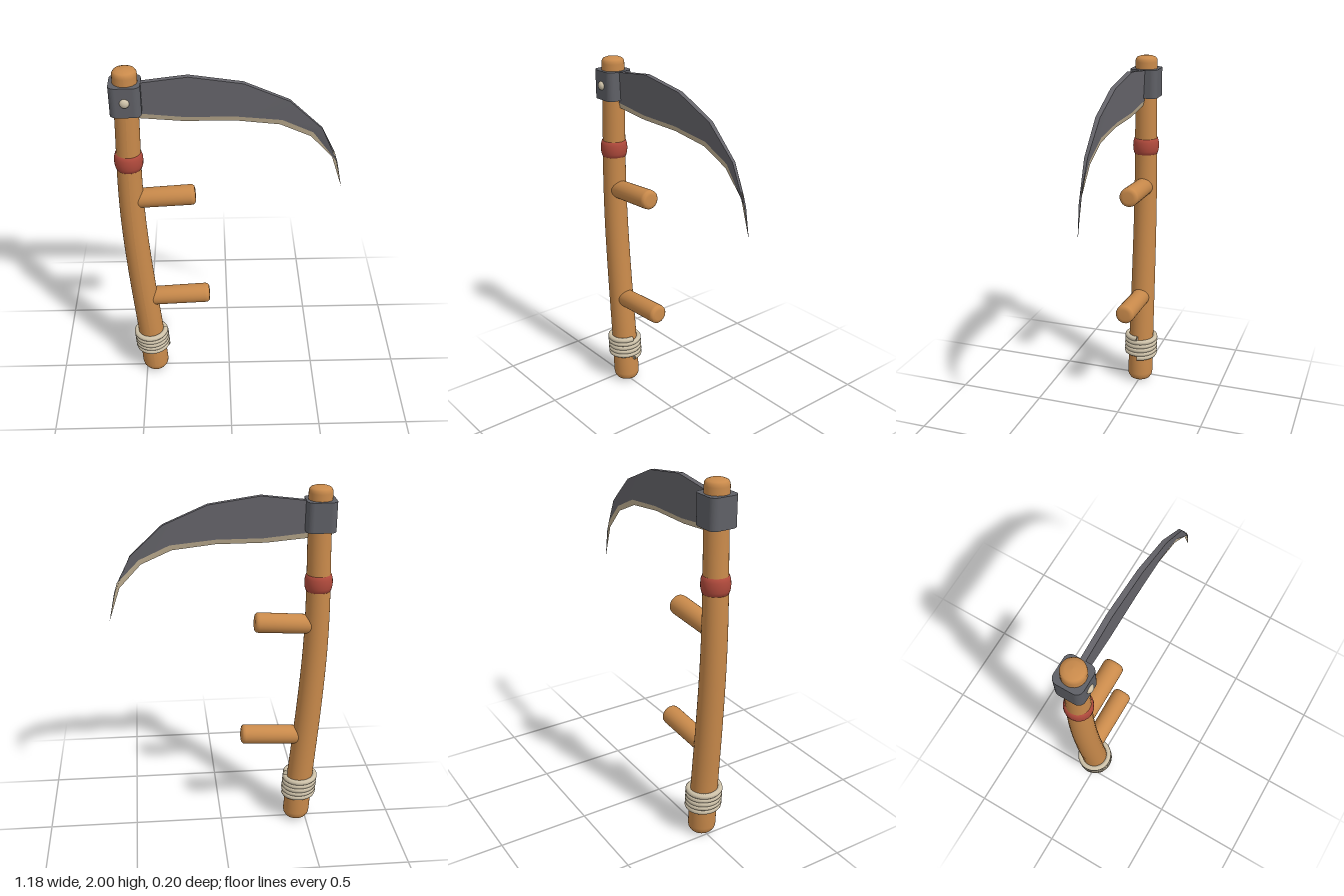
import * as THREE from 'three';

const mat = (name, color) => {
  const m = new THREE.MeshStandardMaterial({ color });
  m.name = name;
  return m;
};
const V2 = (x, y) => new THREE.Vector2(x, y);

// Gently bowed centre line of the shaft: x as a function of height
const bow = new THREE.SplineCurve([
  V2(0, -0.445), V2(0.3, -0.463), V2(0.7, -0.494), V2(1.05, -0.514),
  V2(1.35, -0.518), V2(1.7, -0.509), V2(2, -0.504),
]);
const table = bow.getPoints(120);
function centreX(y) {
  let i = 1;
  while (i < table.length - 1 && table[i].x < y) i++;
  const a = table[i - 1], b = table[i];
  return THREE.MathUtils.lerp(a.y, b.y, THREE.MathUtils.clamp((y - a.x) / (b.x - a.x), 0, 1));
}

// Lathe from [radius, height] pairs
const lathe = (pairs, seg = 32) => new THREE.LatheGeometry(pairs.map(([r, y]) => V2(r, y)), seg);

// Surface strips between pairs of rows running the same way; rows lower-to-upper face the viewer
function strips(pairs) {
  const pos = [], index = [];
  for (const [a, b] of pairs) {
    const base = pos.length / 3, n = a.length;
    for (const p of [...a, ...b]) pos.push(...p);
    for (let i = 0; i < n - 1; i++) {
      const q = base + i;
      index.push(q, q + 1, q + n + 1, q, q + n + 1, q + n);
    }
  }
  const g = new THREE.BufferGeometry();
  g.setAttribute('position', new THREE.Float32BufferAttribute(pos, 3));
  g.setIndex(index);
  g.computeVertexNormals();
  return g;
}

export function createModel() {
  const group = new THREE.Group();
  const wood = mat('wood', 0xc98a4b);
  const steel = mat('steel', 0x66656b);
  const iron = mat('collar iron', 0x5f6066);
  const honed = mat('honed edge', 0xc4b395);
  const cord = mat('rope', 0xcfc3aa);
  const red = mat('red binding', 0xb04a3c);
  const add = (name, geometry, material, x = 0, y = 0, z = 0) => {
    const mesh = new THREE.Mesh(geometry, material);
    mesh.name = name;
    mesh.position.set(x, y, z);
    group.add(mesh);
    return mesh;
  };

  // Shaft: tapered, rounded at both ends, then bent along the centre line
  const profile = [[0, 0], [0.04, 0.004], [0.062, 0.016], [0.073, 0.034], [0.076, 0.055]];
  for (let i = 1; i <= 24; i++) {
    const y = 0.055 + (1.965 - 0.055) * i / 24;
    profile.push([0.076 - 0.014 * Math.min(1, y / 1.7), y]);
  }
  profile.push([0.06, 1.98], [0.053, 1.99], [0.035, 1.997], [0, 2]);
  const shaft = lathe(profile);
  const p = shaft.attributes.position;
  for (let i = 0; i < p.count; i++) p.setX(i, p.getX(i) + centreX(p.getY(i)));
  shaft.computeVertexNormals();
  add('shaft', shaft, wood);

  // Two side grips, tilted slightly upward
  const grip = (name, y, endX, endY) => {
    const startX = centreX(y) + 0.02;
    const len = Math.hypot(endX - startX, endY - y);
    const g = lathe([[0, 0], [0.053, 0], [0.055, len - 0.025], [0.053, len - 0.012],
      [0.044, len - 0.003], [0.03, len], [0, len]], 28);
    add(name, g, wood, startX, y, 0).rotation.z = Math.atan2(endY - y, endX - startX) - Math.PI / 2;
  };
  grip('upperGrip', 1.243, -0.178, 1.263);
  grip('lowerGrip', 0.557, -0.112, 0.576);

  // Red binding ring
  add('binding', lathe([[0.058, -0.046], [0.067, -0.045], [0.073, -0.025], [0.075, 0],
    [0.073, 0.025], [0.067, 0.045], [0.058, 0.046]]), red, centreX(1.485), 1.485, 0);

  // Rope wound five times around the foot of the shaft
  const turns = 5, coil = [];
  for (let i = 0; i <= turns * 16; i++) {
    const t = i / (turns * 16), a = t * turns * Math.PI * 2;
    const y = 0.172 + 0.127 * t;
    coil.push(new THREE.Vector3(centreX(y) + 0.085 * Math.cos(a), y, -0.085 * Math.sin(a)));
  }
  add('ropeWrap', new THREE.TubeGeometry(new THREE.CatmullRomCurve3(coil), 240, 0.0155, 8), cord);
  for (const [end, flip] of [[coil[0], 0], [coil[coil.length - 1], Math.PI]]) {
    const cap = add('ropeEnd', new THREE.CircleGeometry(0.0155, 8), cord, end.x, end.y, end.z);
    cap.rotation.y = flip;
  }

  // Collar: a block with rounded upright corners
  const h = 0.078, r = 0.036;
  const plan = new THREE.Shape();
  plan.moveTo(h, -h + r);
  [0, 1, 2, 3].forEach((k) => {
    const a = k * Math.PI / 2;
    const [sx, sy] = [[1, 1], [-1, 1], [-1, -1], [1, -1]][k];
    plan.absarc(sx * (h - r), sy * (h - r), r, a, a + Math.PI / 2, false);
  });
  const collar = new THREE.ExtrudeGeometry(plan, { depth: 0.158, bevelEnabled: false, curveSegments: 8 });
  collar.rotateX(-Math.PI / 2);
  add('collar', collar, iron, -0.507, 1.771, 0);

  // Rivet on the front of the collar
  const rivet = add('rivet', new THREE.SphereGeometry(0.024, 20, 14), cord, -0.507, 1.85, h);
  rivet.scale.z = 0.7;

  // Blade stations: spine x,y / start of honed strip x,y / cutting edge x,y / half thickness
  const stations = [
    [-0.47, 1.922, -0.47, 1.758, -0.47, 1.728, 0.014],
    [-0.2, 1.955, -0.22, 1.733, -0.23, 1.707, 0.014],
    [0.07, 1.915, 0.03, 1.732, 0.03, 1.706, 0.0135],
    [0.3, 1.815, 0.265, 1.708, 0.255, 1.68, 0.012],
    [0.47, 1.655, 0.425, 1.633, 0.415, 1.608, 0.0085],
    [0.56, 1.45, 0.542, 1.51, 0.53, 1.483, 0.005],
    [0.59, 1.3, 0.59, 1.3, 0.59, 1.3, 0.001],
  ];
  const row = (k, side) => stations.map((s) => [s[k], s[k + 1], side * s[6]]);
  const spineF = row(0, 1), spineB = row(0, -1);
  const stripF = row(2, 0.5), stripB = row(2, -0.5), edge = row(4, 0);
  add('blade', strips([[stripF, spineF], [spineF, spineB], [spineB, stripB]]), steel);
  add('cuttingEdge', strips([[edge, stripF], [stripB, edge]]), honed);

  return group;
}
